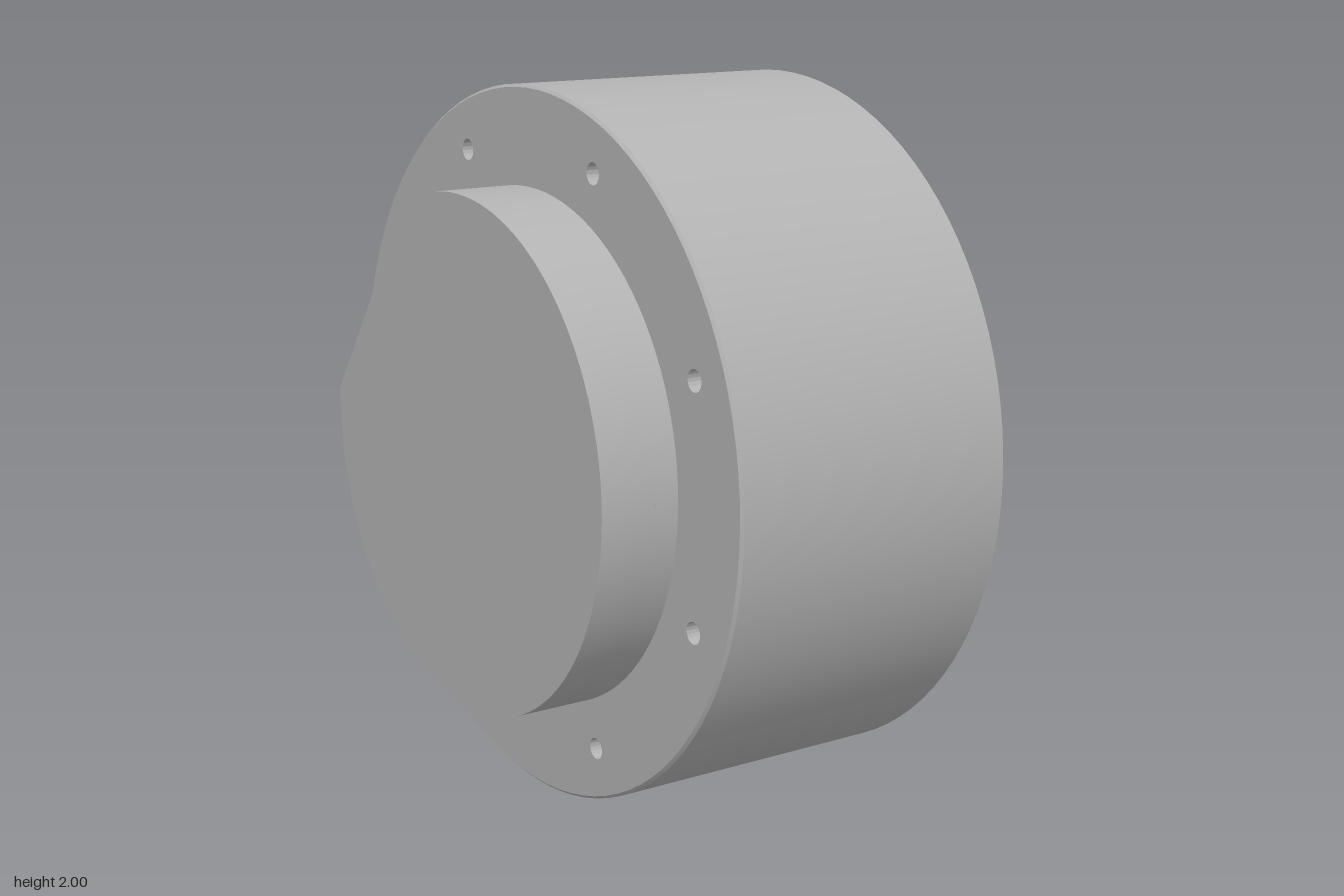
import * as THREE from 'three';
import { toCreasedNormals } from 'three/addons/utils/BufferGeometryUtils.js';

const metal = new THREE.MeshStandardMaterial({ color: 0xb2b2b2 });
metal.name = 'greyMetal';
const SEG = 96;

// Parts are modelled along z; the housing group turns that axis onto x.
export function createModel() {
  const model = new THREE.Group();
  const housing = new THREE.Group();
  housing.name = 'housing';
  housing.rotation.y = Math.PI / 2;
  housing.position.y = 1;
  model.add(housing);

  const add = (name, geometry) => {
    const mesh = new THREE.Mesh(geometry, metal);
    mesh.name = name;
    housing.add(mesh);
  };

  // Open conical or straight wall between two axial positions
  const band = (name, r0, r1, z0, z1) => {
    const g = new THREE.CylinderGeometry(r1, r0, z1 - z0, SEG, 1, true);
    g.rotateX(Math.PI / 2).translate(0, 0, (z0 + z1) / 2);
    add(name, g);
  };

  // Closed solid disc
  const disc = (name, r, z0, z1) => {
    const g = new THREE.CylinderGeometry(r, r, z1 - z0, SEG);
    g.rotateX(Math.PI / 2).translate(0, 0, (z0 + z1) / 2);
    add(name, g);
  };

  const circle = (r) => new THREE.Shape().absarc(0, 0, r, 0, Math.PI * 2, false);

  // Drill a hole at a polar position
  const drill = (shape, radius, angle, r) => {
    shape.holes.push(new THREE.Path().absarc(
      radius * Math.cos(angle), radius * Math.sin(angle), r, 0, Math.PI * 2, true));
  };

  const extrude = (name, shape, z0, z1) => {
    const g = new THREE.ExtrudeGeometry(shape, {
      depth: z1 - z0, bevelEnabled: false, curveSegments: SEG / 2,
    });
    g.translate(0, 0, z0);
    add(name, toCreasedNormals(g, 0.4));
  };

  // Main drum with small edge chamfers
  band('drumWall', 1, 1, -0.392, 0.452);
  band('drumBackChamfer', 0.992, 1, -0.4, -0.392);
  band('drumFrontChamfer', 1, 0.992, 0.452, 0.46);
  disc('drumCore', 0.97, -0.28, 0.34);

  // Drum end plates, each with a ring of eight bolt holes
  const frontPlate = circle(0.992);
  const backPlate = circle(0.992);
  for (let i = 0; i < 8; i++) {
    drill(frontPlate, 0.91, i * Math.PI / 4, 0.032);
    drill(backPlate, 0.86, (i + 0.5) * Math.PI / 4, 0.03);
  }
  extrude('frontPlate', frontPlate, 0.34, 0.46);
  extrude('backPlate', backPlate, -0.4, -0.28);

  // Raised cover with a bevelled rim
  band('coverWall', 0.815, 0.815, 0.46, 0.53);
  band('coverBevel', 0.815, 0.735, 0.53, 0.61);
  const cover = circle(0.735);
  drill(cover, 0, 0, 0.345);
  extrude('coverFace', cover, 0.53, 0.61);
  disc('coverFloor', 0.7, 0.4, 0.53);

  // Hub ring: centre bore, six bolt holes and two dowel holes
  const hub = circle(0.345);
  drill(hub, 0, 0, 0.215);
  for (let i = 0; i < 6; i++) drill(hub, 0.287, (i + 0.5) * Math.PI / 3, 0.042);
  for (let i = 0; i < 2; i++) drill(hub, 0.287, i * Math.PI, 0.031);
  extrude('hubRing', hub, 0.53, 0.63);
  band('hubWall', 0.355, 0.355, 0.6, 0.62);
  band('hubChamfer', 0.355, 0.345, 0.62, 0.63);

  // Rear boss with one flat cut across its upper side
  const flatAngle = 0.623;
  const flatHalf = 0.536;
  const boss = new THREE.Shape().absarc(
    0, 0, 0.725, flatAngle + flatHalf, flatAngle - flatHalf + Math.PI * 2, false);
  boss.closePath();
  extrude('rearBoss', boss, -0.63, -0.47);
  disc('rearBossBase', 0.725, -0.47, -0.39);

  return model;
}
